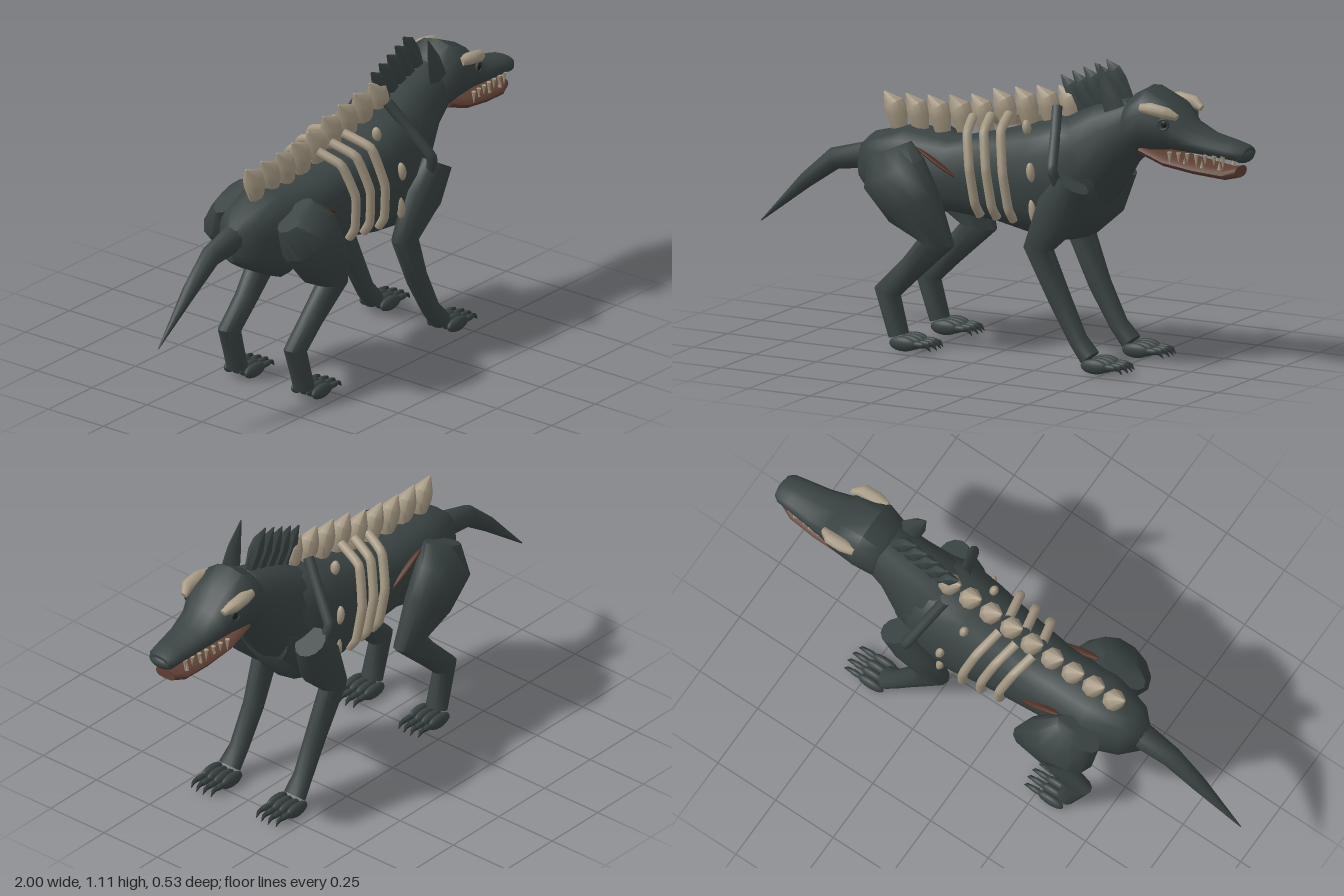
import * as THREE from 'three';
import { toCreasedNormals } from 'three/addons/utils/BufferGeometryUtils.js';

const mat = (name, color) => Object.assign(new THREE.MeshStandardMaterial({ color }), { name });

export function createModel() {
  const root = new THREE.Group();
  root.name = 'undeadHound';
  const hide = mat('darkHide', 0x394242);
  const dark = mat('darkClaw', 0x2e3535);
  const bone = mat('bone', 0xa69a84);
  const flesh = mat('flesh', 0x5f4034);
  const wound = mat('wound', 0x4e2f24);
  const eyeBlack = mat('eyeBlack', 0x1c2121);

  function add(name, geometry, material, parent = root) {
    const mesh = new THREE.Mesh(geometry, material);
    mesh.name = name;
    parent.add(mesh);
    return mesh;
  }

  // Closed skin over rings [x, y, z, in-plane radius, z radius]; power below 1 squares the section
  function loft(rings, sides = 12, upright = false, power = 1) {
    const pos = [], idx = [];
    const bend = v => Math.sign(v) * Math.abs(v) ** power;
    const pts = rings.map(r => new THREE.Vector2(r[0], r[1]));
    rings.forEach(([x, y, z, a, b], i) => {
      const t = new THREE.Vector2();
      if (upright) t.set(1, 0);
      else {
        if (i > 0) t.add(pts[i].clone().sub(pts[i - 1]).normalize());
        if (i < pts.length - 1) t.add(pts[i + 1].clone().sub(pts[i]).normalize());
        t.normalize();
      }
      for (let j = 0; j < sides; j++) {
        const q = (j / sides) * Math.PI * 2, c = bend(Math.cos(q)) * a;
        pos.push(x - t.y * c, y + t.x * c, z + bend(Math.sin(q)) * b);
      }
    });
    const last = rings.length - 1, c0 = rings.length * sides;
    pos.push(...rings[0].slice(0, 3), ...rings[last].slice(0, 3));
    for (let j = 0; j < sides; j++) {
      const k = (j + 1) % sides;
      for (let i = 0; i < last; i++) {
        const p = i * sides + j, q = i * sides + k;
        idx.push(p, q, p + sides, q, q + sides, p + sides);
      }
      idx.push(c0, k, j, c0 + 1, last * sides + j, last * sides + k);
    }
    const g = new THREE.BufferGeometry();
    g.setAttribute('position', new THREE.Float32BufferAttribute(pos, 3));
    g.setIndex(idx);
    return toCreasedNormals(g, 0.9);
  }

  // Upright rings given as [x, top, bottom, half width]
  const hull = (rows, sides, power) =>
    loft(rows.map(([x, t, b, w]) => [x, (t + b) / 2, 0, (t - b) / 2, w]), sides, true, power);

  // Tube with tight bends at its points
  const tube = (points, radius) => new THREE.TubeGeometry(new THREE.CatmullRomCurve3(
    points.map(p => new THREE.Vector3(...p)), false, 'catmullrom', 0.2), 24, radius, 8);

  function ball(name, p, s, material, parent = root) {
    const mesh = add(name, new THREE.SphereGeometry(1, 14, 10), material, parent);
    mesh.position.set(...p);
    mesh.scale.set(...s);
    return mesh;
  }

  // Trunk, neck and tail
  add('torso', hull([
    [-0.585, 0.70, 0.57, 0.04], [-0.53, 0.75, 0.53, 0.095], [-0.38, 0.79, 0.45, 0.14],
    [-0.2, 0.765, 0.495, 0.128], [0, 0.815, 0.48, 0.146], [0.15, 0.86, 0.45, 0.166],
    [0.27, 0.90, 0.437, 0.172], [0.335, 0.90, 0.455, 0.155], [0.42, 0.85, 0.565, 0.12]], 16, 0.78), hide);
  add('neck', loft([[0.24, 0.67, 0, 0.19, 0.15], [0.33, 0.74, 0, 0.18, 0.15],
    [0.45, 0.84, 0, 0.13, 0.115], [0.56, 0.90, 0, 0.1, 0.10]], 14, false, 0.9), hide);
  add('tail', loft([[-1, 0.37, 0, 0.002, 0.002], [-0.82, 0.535, 0, 0.028, 0.028],
    [-0.7, 0.63, 0, 0.04, 0.038], [-0.55, 0.66, 0, 0.05, 0.05]], 10), hide);

  // Head, nose and lower jaw
  const head = new THREE.Group();
  head.name = 'head';
  root.add(head);
  add('skull', hull([
    [0.495, 0.96, 0.84, 0.08], [0.53, 1.0, 0.78, 0.112], [0.60, 1.04, 0.80, 0.127],
    [0.70, 0.995, 0.815, 0.117], [0.75, 0.93, 0.813, 0.096], [0.83, 0.89, 0.808, 0.08],
    [0.93, 0.87, 0.80, 0.066], [0.97, 0.86, 0.798, 0.06], [0.99, 0.85, 0.805, 0.045]], 14, 0.95), hide, head);
  ball('nose', [0.967, 0.82, 0], [0.033, 0.027, 0.056], hide, head);
  add('lowerJaw', hull([[0.58, 0.835, 0.79, 0.08], [0.68, 0.80, 0.755, 0.085],
    [0.80, 0.782, 0.737, 0.078], [0.91, 0.77, 0.728, 0.064], [0.955, 0.78, 0.738, 0.045]], 12, 0.8), flesh, head);
  // Single surviving ear on the +z side
  add('ear', loft([[0.49, 0.955, 0.09, 0.045, 0.028], [0.465, 1.02, 0.095, 0.034, 0.02],
    [0.43, 1.115, 0.095, 0.002, 0.002]], 6), hide, head);

  for (const s of [1, -1]) {
    add('browBone', loft([[0.605, 0.975, s * 0.106, 0.016, 0.016], [0.65, 0.975, s * 0.108, 0.023, 0.026],
      [0.71, 0.966, s * 0.107, 0.023, 0.025], [0.745, 0.95, s * 0.092, 0.012, 0.014]], 8), bone, head);
    ball('eye', [0.70, 0.925, s * 0.104], [0.017, 0.017, 0.013], eyeBlack, head);
    const lid = add('eyeRim', new THREE.TorusGeometry(0.019, 0.005, 6, 14), hide, head);
    lid.position.set(0.70, 0.925, s * 0.112);
    lid.rotation.y = s * 0.2;
    // Teeth along both jaws
    for (let i = 0; i < 7; i++) {
      const x = 0.71 + i * 0.034, long = i % 3 ? 0.038 : 0.05;
      const up = add('upperTooth', new THREE.ConeGeometry(0.009, long, 6), bone, head);
      up.position.set(x, 0.82 - long / 2, s * (0.082 - i * 0.004));
      up.rotation.x = Math.PI;
      if (i % 2) {
        const low = add('lowerTooth', new THREE.ConeGeometry(0.008, 0.034, 6), bone, head);
        low.position.set(x + 0.017, 0.785, s * (0.068 - i * 0.003));
      }
    }
  }

  // Neck mane of dark blades leaning backwards
  for (let i = 0; i < 5; i++) {
    const x = 0.295 + i * 0.046, y = 0.92 + i * 0.019;
    add('maneSpike', loft([[x + 0.015, y - 0.03, 0, 0.03, 0.016], [x - 0.02, y + 0.045, 0, 0.033, 0.026],
      [x - 0.038, y + 0.08, 0, 0.027, 0.02], [x - 0.073, y + 0.115, 0, 0.002, 0.002]], 6), hide);
  }

  // Bony plates along the spine, flaring upward with a backswept tip
  const spineY = [0.782, 0.784, 0.787, 0.797, 0.81, 0.84, 0.855, 0.87, 0.88];
  spineY.forEach((y, i) => {
    const x = -0.44 + i * 0.089;
    add('spinePlate', loft([[x + 0.004, y - 0.012, 0, 0.033, 0.022], [x - 0.006, y + 0.04, 0, 0.04, 0.038],
      [x - 0.018, y + 0.075, 0, 0.04, 0.036], [x - 0.058, y + 0.115, 0, 0.003, 0.003]], 8), bone);
  });

  // Paw made of four long knuckles, slim toes and claws
  function paw(x, z) {
    const g = new THREE.Group();
    g.name = 'paw';
    g.position.set(x, 0, z);
    root.add(g);
    for (let i = 0; i < 4; i++) {
      const dz = (i - 1.5) * 0.031, fx = Math.abs(i - 1.5) < 1 ? 0.008 : 0;
      ball('knuckle', [fx, 0.031, dz], [0.056, 0.027, 0.018], hide, g);
      ball('toe', [0.063 + fx, 0.033, dz], [0.032, 0.012, 0.011], hide, g);
      add('claw', loft([[0.08 + fx, 0.034, dz, 0.01, 0.009], [0.1 + fx, 0.03, dz, 0.008, 0.007],
        [0.113 + fx, 0.013, dz, 0.001, 0.001]], 6), dark, g);
    }
  }

  for (const s of [1, -1]) {
    // Legs
    const leg = (name, rows) =>
      add(name, loft(rows.map(([x, y, z, a, b]) => [x, y, s * z, a, b]), 12), hide);
    leg('hindLeg', [[-0.395, 0.725, 0.145, 0.095, 0.045],
      [-0.36, 0.645, 0.178, 0.132, 0.086],
      [-0.28, 0.53, 0.175, 0.115, 0.072], [-0.2, 0.405, 0.158, 0.072, 0.048],
      [-0.31, 0.295, 0.15, 0.046, 0.04], [-0.402, 0.205, 0.15, 0.052, 0.037], [-0.355, 0.05, 0.152, 0.036, 0.042]]);
    leg('frontLeg', [[0.37, 0.685, 0.18, 0.064, 0.056], [0.305, 0.57, 0.168, 0.093, 0.06],
      [0.218, 0.43, 0.158, 0.058, 0.044], [0.30, 0.25, 0.148, 0.043, 0.037],
      [0.375, 0.11, 0.15, 0.034, 0.036], [0.425, 0.05, 0.153, 0.036, 0.044]]);
    paw(-0.312, s * 0.153);
    paw(0.468, s * 0.153);

    // Shoulder blade ridge
    add('shoulderBlade', tube([[0.24, 0.93, s * 0.06], [0.27, 0.84, s * 0.13],
      [0.303, 0.735, s * 0.212], [0.32, 0.67, s * 0.195]], 0.02), hide);

    // Exposed angular ribs
    for (let i = 0; i < 3; i++) {
      const x = -0.105 + i * 0.073, w = i * 0.009, y = i * 0.012;
      add('rib', tube([[x - 0.015, 0.85 + y, s * 0.03], [x + 0.01, 0.81 + y, s * (0.118 + w)],
        [x + 0.04, 0.69, s * (0.158 + w)], [x + 0.055, 0.56, s * (0.143 + w)],
        [x + 0.06, 0.515, s * (0.112 + w)]], 0.0175), bone);
    }
    // Half-buried fourth rib and stray bone fragments
    for (const [x, y, z, h] of [[0.135, 0.85, 0.095, 0.028], [0.19, 0.705, 0.165, 0.036],
      [0.195, 0.56, 0.156, 0.048], [0.275, 0.82, 0.136, 0.025]])
      ball('ribFragment', [x, y, s * z], [0.016, h, 0.018], bone).rotation.z = 0.15;

    // Flank gash
    const gash = ball('flankGash', [-0.215, 0.69, s * 0.128], [0.098, 0.008, 0.014], wound);
    gash.rotation.z = -0.52;
  }
  return root;
}
